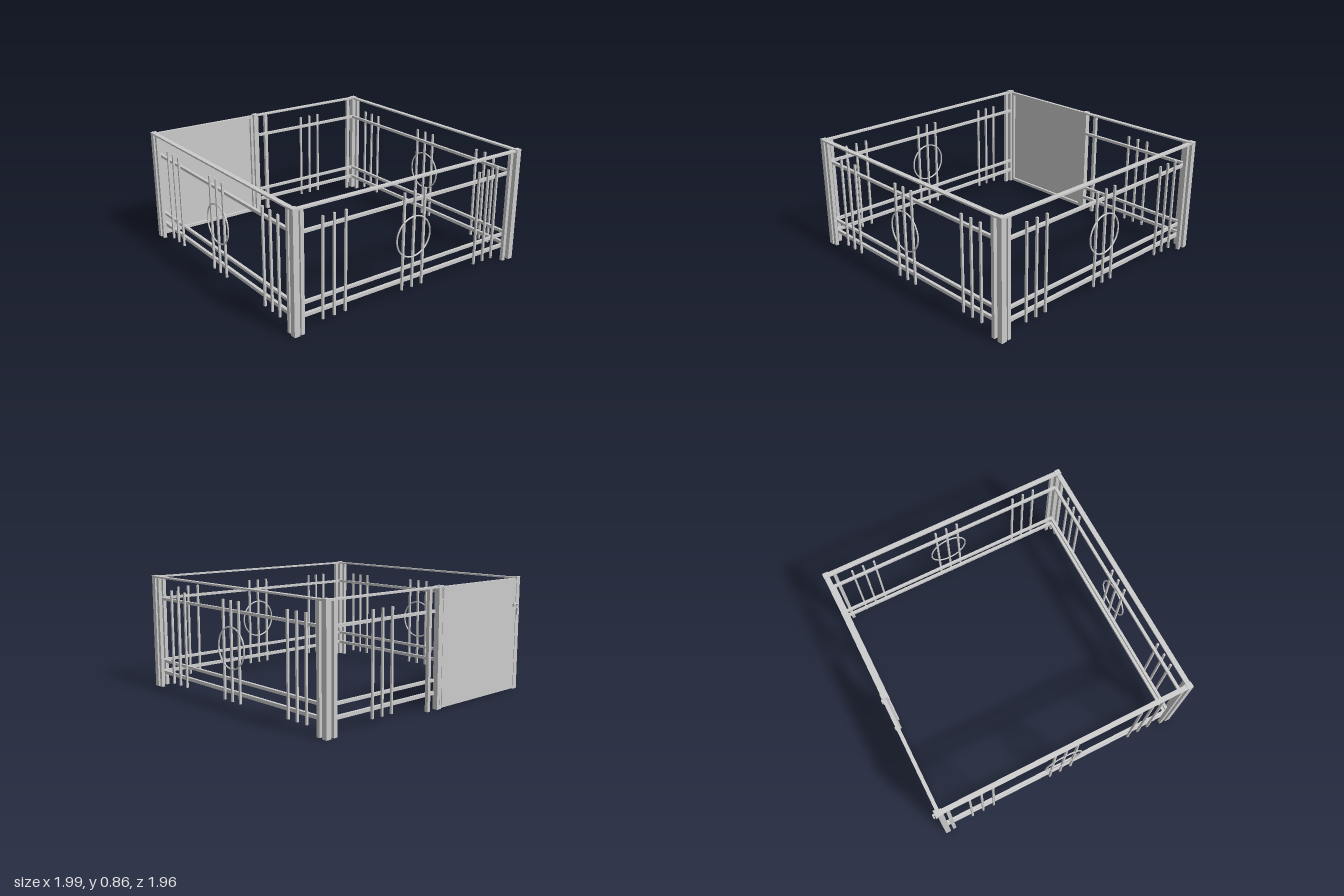
import * as THREE from 'three';

const material = new THREE.MeshStandardMaterial({ color: 0xcccccc });

function add(parent, name, geometry, x, y, z) {
  const mesh = new THREE.Mesh(geometry, material);
  mesh.name = name;
  mesh.position.set(x, y, z);
  parent.add(mesh);
  return mesh;
}

const box = (parent, name, w, h, d, x, y, z) =>
  add(parent, name, new THREE.BoxGeometry(w, h, d), x, y, z);

// One fence panel along local x, with its outer side towards local +z
function fence(name, { from, to, posts, bars, ring }) {
  const group = new THREE.Group();
  group.name = name;
  const length = to - from, mid = (from + to) / 2;
  box(group, 'topRail', length, 0.012, 0.036, mid, 0.845, 0);
  for (const [y, h] of [[0.68, 0.02], [0.202, 0.02], [0.113, 0.024]])
    box(group, 'rail', length, h, 0.022, mid, y, -0.021);
  for (const x of posts)
    box(group, 'endPost', 0.026, 0.84, 0.026, x, 0.42, 0.003);
  for (const center of bars)
    for (const i of [-1, 0, 1])
      box(group, 'bar', 0.015, 0.705, 0.015, center + i * 0.0885, 0.4025, -0.0025);
  if (ring)
    add(group, 'ring', new THREE.TorusGeometry(0.146, 0.006, 8, 48), 0, 0.425, 0);
  return group;
}

function place(parent, part, x, z, angle) {
  part.position.set(x, 0, z);
  part.rotation.y = angle;
  parent.add(part);
}

export function createModel() {
  const model = new THREE.Group();
  model.name = 'fencedEnclosure';

  // Corner posts and the gate post, each with a flat cap
  const postSpots = [[-0.945, -0.96], [0.972, -0.96], [-0.945, 0.96], [0.972, 0.96], [-0.945, 0.066]];
  for (const [x, z] of postSpots) {
    box(model, 'post', 0.041, 0.85, 0.041, x, 0.425, z);
    box(model, 'postCap', 0.044, 0.006, 0.044, x, 0.853, z);
  }

  // Three full fences and the short one beside the gate
  const full = { from: -0.94, to: 0.94, posts: [-0.907, 0.9], bars: [-0.656, 0, 0.686], ring: true };
  place(model, fence('frontFence', full), 0.016, 0.96, 0);
  place(model, fence('backFence', full), 0.016, -0.96, Math.PI);
  place(model, fence('leftFence', full), 0.972, 0.006, Math.PI / 2);
  const short = { from: -0.94, to: 0.046, posts: [-0.9, -0.035], bars: [-0.477], ring: false };
  place(model, fence('shortFence', short), -0.945, 0, -Math.PI / 2);

  // Solid gate: sheet outside, frame inside
  const gate = new THREE.Group();
  gate.name = 'gate';
  model.add(gate);
  const z0 = 0.09, z1 = 0.935, zm = (z0 + z1) / 2;
  box(gate, 'gateSheet', 0.006, 0.84, z1 - z0, -0.962, 0.427, zm);
  for (const z of [z0 + 0.011, z1 - 0.011])
    box(gate, 'gateStile', 0.02, 0.84, 0.022, -0.949, 0.427, z);
  for (const y of [0.018, 0.836])
    box(gate, 'gateFrameRail', 0.02, 0.022, z1 - z0 - 0.044, -0.949, y, zm);

  // Hinges: a round knuckle and a leaf on either side
  for (const y of [0.805, 0.062]) {
    add(gate, 'hingePin', new THREE.CylinderGeometry(0.006, 0.006, 0.074, 12), -0.971, y, 0.088);
    box(gate, 'hingeLeaf', 0.003, 0.066, 0.03, -0.967, y, 0.088);
  }

  // Sliding latch with a hanging handle
  const latch = new THREE.Group();
  latch.name = 'latch';
  model.add(latch);
  box(latch, 'latchPlate', 0.006, 0.035, 0.05, -0.968, 0.65, 0.925);
  const bolt = add(latch, 'latchBolt', new THREE.CylinderGeometry(0.007, 0.007, 0.06, 12), -0.976, 0.65, 0.925);
  bolt.rotation.x = Math.PI / 2;
  box(latch, 'latchArm', 0.02, 0.012, 0.012, -0.986, 0.65, 0.925);
  box(latch, 'latchHandle', 0.012, 0.05, 0.024, -0.992, 0.6, 0.925);
  add(latch, 'latchLoop', new THREE.TorusGeometry(0.012, 0.003, 8, 16), -0.992, 0.632, 0.925).rotation.y = Math.PI / 2;

  return model;
}
